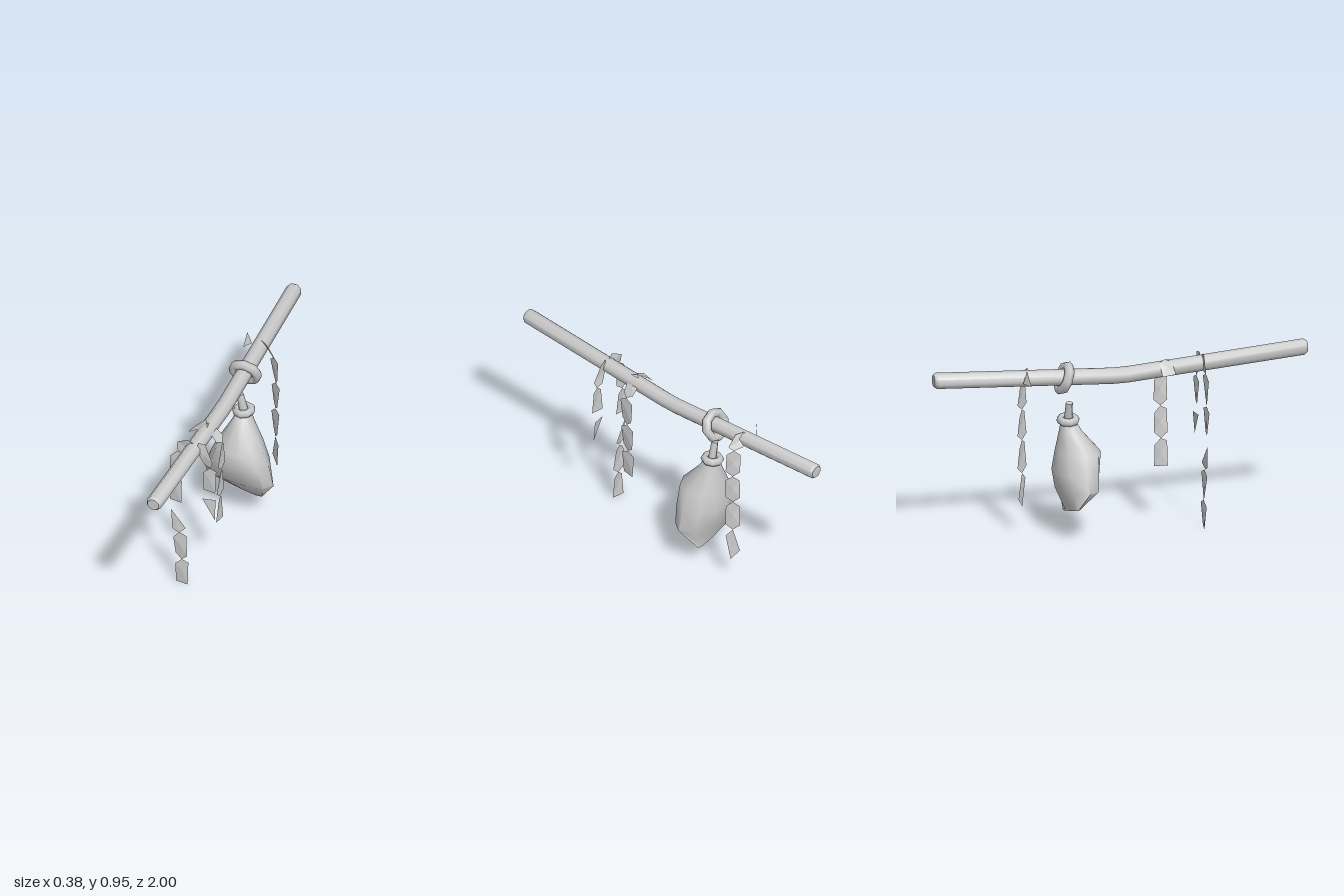
import * as THREE from 'three';
import { toCreasedNormals } from 'three/addons/utils/BufferGeometryUtils.js';

const V = (x, y, z) => new THREE.Vector3(x, y, z);
const solid = new THREE.MeshStandardMaterial({ color: 0xcccccc });
const thin = new THREE.MeshStandardMaterial({ color: 0xcccccc, side: THREE.DoubleSide, flatShading: true });

function add(parent, name, geometry, material = solid) {
  const mesh = new THREE.Mesh(geometry, material);
  mesh.name = name;
  parent.add(mesh);
  return mesh;
}

// Skin a list of equal-sized rings and close both ends with a fan
function loft(rings, crease) {
  const n = rings[0].length, pts = rings.flat(), index = [];
  for (let r = 0; r < rings.length - 1; r++)
    for (let i = 0; i < n; i++) {
      const a = r * n + i, b = r * n + (i + 1) % n;
      index.push(a, b, a + n, b, b + n, a + n);
    }
  const last = (rings.length - 1) * n;
  for (let i = 1; i < n - 1; i++) {
    index.push(0, i + 1, i);
    index.push(last, last + i, last + i + 1);
  }
  const g = new THREE.BufferGeometry().setFromPoints(pts);
  g.setIndex(index);
  g.computeVertexNormals();
  return toCreasedNormals(g, crease);
}

// Fan of triangles around the middle of an outline
function fan(outline) {
  const mid = outline.reduce((s, p) => s.add(p), V(0, 0, 0)).divideScalar(outline.length);
  const pts = [];
  outline.forEach((p, i) => pts.push(mid, p, outline[(i + 1) % outline.length]));
  const g = new THREE.BufferGeometry().setFromPoints(pts);
  g.computeVertexNormals();
  return g;
}

// Chain of pinched cloth panels; the last panel may end square
function strand(parent, name, path, wide, squareEnd = false) {
  for (let i = 0; i < path.length - 1; i++) {
    const a = path[i], b = path[i + 1];
    const along = b.clone().sub(a);
    const bow = wide.clone().cross(along).normalize().multiplyScalar(0.006);
    const at = (t, s, k) => a.clone().addScaledVector(along, t).addScaledVector(wide, s).addScaledVector(bow, k);
    const square = squareEnd && i === path.length - 2;
    const e = square ? 1 : 0.82;
    const outline = [a, at(0.12, 1, 1), at(e, 1, -1)];
    if (!square) outline.push(b);
    outline.push(at(e, -1, 1), at(0.2, -1, -1));
    add(parent, name, fan(outline), thin);
  }
}

export function createModel() {
  const model = new THREE.Group();

  // Sagging carrying pole with small end bevels
  const poleRings = [[-1, 0.03], [-0.985, 0.039], [-0.04, 0.039], [0.04, 0.039], [0.985, 0.039], [1, 0.03]]
    .map(([z, r]) => Array.from({ length: 8 }, (_, i) => {
      const t = (i + 0.5) / 8 * Math.PI * 2, k = r / Math.cos(Math.PI / 8);
      return V(Math.cos(t) * k, 0.847 + 0.065 * Math.abs(z) + Math.sin(t) * k, z);
    }));
  add(model, 'pole', loft(poleRings, 0.9));

  // Rope loop around the pole
  const loop = add(model, 'ropeLoop', new THREE.TorusGeometry(0.066, 0.026, 6, 8));
  loop.position.set(0, 0.862, -0.3);
  loop.rotation.x = 0.36;

  // Sack: y, tilt, centre x, half width, front z, back z, side shift
  const sack = new THREE.Group();
  sack.name = 'sack';
  model.add(sack);
  const levels = [
    [0.15, -0.3, -0.035, 0.137, -0.255, -0.29, 0],
    [0.26, -0.1, 0, 0.19, -0.145, -0.34, 0.04],
    [0.36, -0.05, 0, 0.162, -0.122, -0.36, 0.03],
    [0.46, 0, 0, 0.124, -0.11, -0.345, 0.01],
    [0.57, 0, 0, 0.06, -0.205, -0.325, 0],
    [0.63, 0, 0, 0.036, -0.24, -0.315, 0],
  ];
  const sackRings = levels.map(([y, tilt, cx, rx, zf, zb, shift]) =>
    Array.from({ length: 10 }, (_, i) => {
      const t = -i / 10 * Math.PI * 2, c = Math.cos(t), s = Math.sin(t);
      const x = cx + rx * c;
      // corners of each section are filled out, the sides lean forward
      const z = (zf + zb) / 2 + (zf - zb) / 2 * Math.sign(s) * Math.abs(s) ** 0.8 + shift * c * c * 0.7;
      return V(x, y + tilt * (x - cx), z);
    }));
  add(sack, 'sackBody', loft(sackRings, 1.1));

  // Tie around the neck and the twisted cloth end above it
  const tie = add(sack, 'neckTie', new THREE.TorusGeometry(0.041, 0.021, 6, 8));
  tie.position.set(0, 0.634, -0.279);
  tie.rotation.set(Math.PI / 2, 0.12, 0);
  const stub = add(sack, 'sackTip', new THREE.CylinderGeometry(0.019, 0.023, 0.1, 6));
  stub.position.set(-0.01, 0.682, -0.278);
  stub.rotation.z = 0.22;

  // Front cloth strip, hanging on both sides of the pole
  const zA = 0.435, wideX = V(0.034, 0, 0);
  const front = new THREE.Group();
  front.name = 'frontStrip';
  model.add(front);
  strand(front, 'topPanel', [V(0.01, 0.91, zA), V(-0.09, 0.855, zA)], V(0.018, -0.034, 0));
  strand(front, 'topPanel', [V(0.03, 0.925, zA), V(0.095, 0.78, zA)], V(0.026, 0.012, 0));
  strand(front, 'rightHang', [V(-0.085, 0.845, zA), V(-0.1, 0.67, zA), V(-0.095, 0.52, zA)], wideX, true);
  strand(front, 'leftHang', [V(0.092, 0.78, zA), V(0.09, 0.63, zA)], wideX, true);
  add(front, 'leftEnd', fan([V(0.05, 0.575, zA), V(0.12, 0.575, zA - 0.01), V(0.12, 0.455, zA)]), thin);
  add(front, 'rightUpper', fan([V(-0.122, 0.46, zA), V(-0.045, 0.35, zA - 0.01), V(-0.08, 0.32, zA), V(-0.115, 0.34, zA)]), thin);
  strand(front, 'rightLower', [V(-0.078, 0.32, zA - 0.005), V(-0.065, 0.15, zA - 0.005), V(-0.064, 0, zA - 0.005)], wideX, true);

  // Middle cloth strip, facing sideways
  const zB = 0.24, wideZ = V(0, 0, 0.035);
  const middle = new THREE.Group();
  middle.name = 'middleStrip';
  model.add(middle);
  strand(middle, 'middlePanel', [V(0, 0.912, zB), V(0.085, 0.81, zB), V(0.08, 0.635, zB), V(0.072, 0.46, zB), V(0.07, 0.31, zB)], wideZ, true);
  strand(middle, 'middleFlap', [V(0, 0.912, zB), V(-0.085, 0.85, zB)], wideZ, true);

  // Rear cloth strip, turned diagonally
  const zC = -0.5, wideD = V(0.026, 0, 0.026);
  const rear = new THREE.Group();
  rear.name = 'rearStrip';
  model.add(rear);
  strand(rear, 'rearPanel', [V(0.01, 0.925, zC - 0.005), V(0.08, 0.84, zC), V(0.09, 0.68, zC), V(0.088, 0.515, zC), V(0.088, 0.335, zC)], wideD);
  add(rear, 'rearEnd', fan([V(0.088, 0.335, zC), V(0.115, 0.3, zC + 0.026), V(0.1, 0.15, zC + 0.005), V(0.062, 0.2, zC - 0.026)]), thin);
  add(rear, 'rearFlap', fan([V(-0.075, 0.945, zC - 0.02), V(-0.055, 0.87, zC - 0.035), V(-0.09, 0.86, zC)]), thin);

  return model;
}
